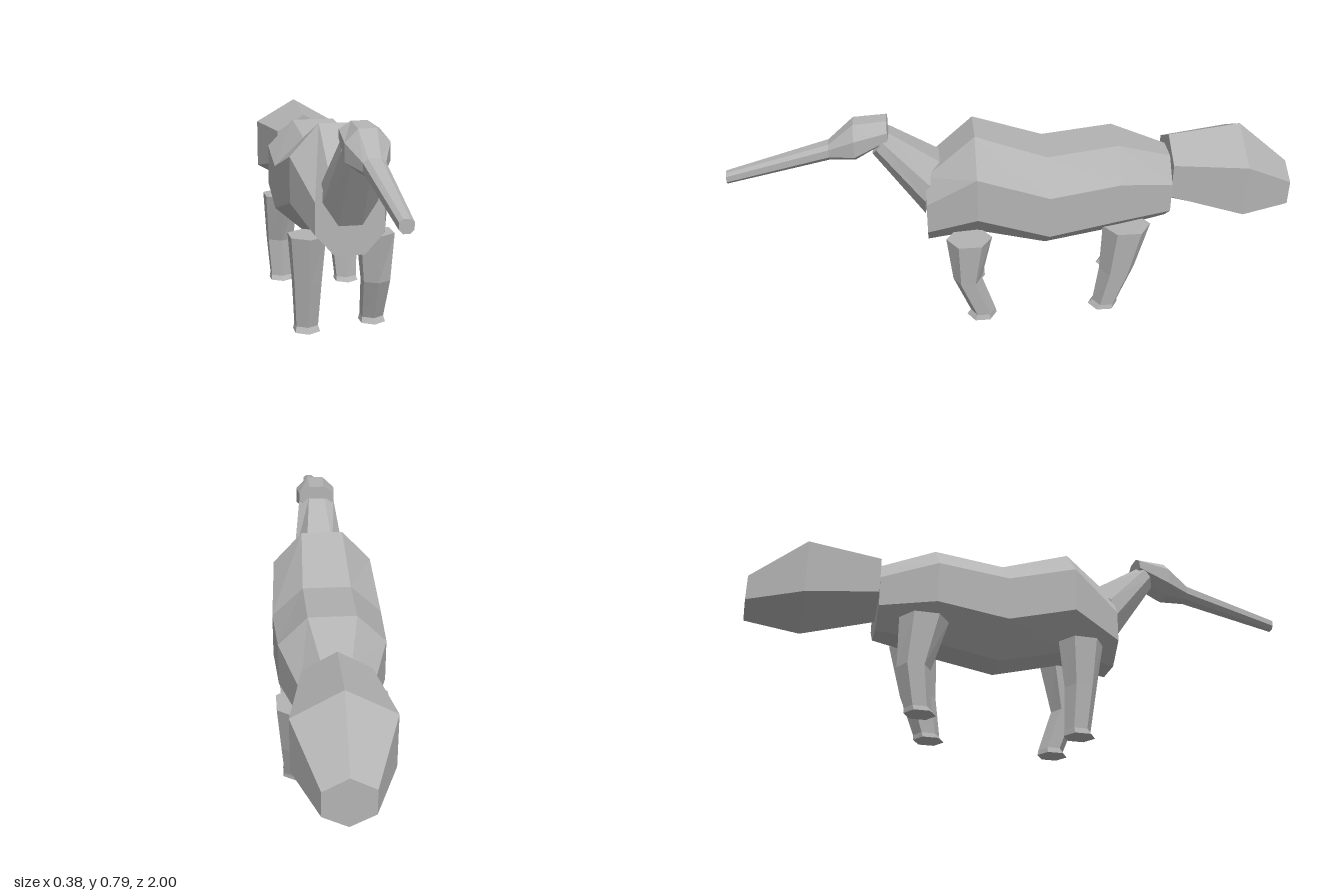
import * as THREE from 'three';

const grey = new THREE.MeshStandardMaterial({ color: 0xb4b4b4, flatShading: true });
grey.name = 'grey';

// Skin a list of rings with flat facets and close both ends
function loft(name, rings) {
  const pos = [];
  const tri = (...pts) => pts.forEach((p) => pos.push(...p));
  const n = rings[0].length;
  for (let i = 0; i < rings.length - 1; i++) {
    for (let j = 0; j < n; j++) {
      const k = (j + 1) % n;
      const a = rings[i][j], b = rings[i][k], c = rings[i + 1][k], d = rings[i + 1][j];
      tri(a, b, c);
      tri(a, c, d);
    }
  }
  const first = rings[0], last = rings[rings.length - 1];
  for (let j = 1; j < n - 1; j++) {
    tri(first[0], first[j + 1], first[j]);
    tri(last[0], last[j], last[j + 1]);
  }
  const geo = new THREE.BufferGeometry();
  geo.setAttribute('position', new THREE.Float32BufferAttribute(pos, 3));
  geo.computeVertexNormals();
  const mesh = new THREE.Mesh(geo, grey);
  mesh.name = name;
  return mesh;
}

// Mirror a half outline (top to bottom on the +x side) into a full ring
function mirror(half) {
  const other = half.filter((p) => p[0] > 0).map(([x, y, z]) => [-x, y, z]);
  return [...half, ...other.reverse()];
}

// Upright section: top, upper side, lower side and bottom corners
const section = ([z, topW, topY, sideW, upY, lowY, botW, botY]) => mirror([
  [topW, topY, z], [sideW, upY, z], [sideW, lowY, z], [botW, botY, z],
]);

// Six-sided leg; each row is y, z, half width, half depth
function leg(name, x, rows) {
  return loft(name, rows.map(([y, z, rx, rz]) => Array.from({ length: 6 }, (_, i) => {
    const t = Math.PI / 6 + (i * Math.PI) / 3;
    return [x + (rx * Math.cos(t)) / Math.cos(Math.PI / 6), y, z + rz * Math.sin(t)];
  })));
}

export function createModel() {
  const model = new THREE.Group();
  model.name = 'anteater';

  // Body, front to back
  model.add(loft('body', [
    [0.315, 0.07, 0.585, 0.12, 0.5, 0.387, 0.052, 0.313],
    [0.14, 0.073, 0.74, 0.176, 0.627, 0.463, 0.065, 0.347],
    [-0.11, 0.083, 0.65, 0.19, 0.547, 0.388, 0.067, 0.282],
    [-0.36, 0.08, 0.68, 0.178, 0.58, 0.43, 0.065, 0.326],
    [-0.555, 0.045, 0.61, 0.115, 0.53, 0.42, 0.045, 0.358],
  ].map(section)));

  // Neck, leaning forward from the chest
  model.add(loft('neck', [
    mirror([[0.03, 0.745, 0.43], [0.066, 0.73, 0.455], [0.066, 0.7, 0.475], [0.035, 0.672, 0.49]]),
    mirror([[0.048, 0.63, 0.258], [0.095, 0.565, 0.3], [0.095, 0.5, 0.318], [0.041, 0.418, 0.32]]),
  ].map((ring) => ring)));

  // Head and long snout
  model.add(loft('head', [
    [1, 0.01, 0.607, 0.022, 0.598, 0.577, 0.01, 0.565],
    [0.64, 0.02, 0.706, 0.036, 0.693, 0.665, 0.02, 0.647],
    [0.55, 0.03, 0.783, 0.073, 0.74, 0.68, 0.03, 0.648],
    [0.435, 0.027, 0.791, 0.066, 0.765, 0.735, 0.03, 0.715],
  ].map(section)));

  // Bushy tail with a ridge on top and below
  model.add(loft('tail', [
    [-0.555, 0, 0.67, 0.11, 0.605, 0.476, 0, 0.41],
    [-0.81, 0, 0.702, 0.16, 0.61, 0.418, 0, 0.333],
    [-1, 0, 0.537, 0.08, 0.492, 0.402, 0, 0.36],
  ].map(section)));

  // Legs in a walking pose
  model.add(leg('leftFrontLeg', 0.123, [
    [0.355, 0.17, 0.061, 0.082], [0.18, 0.18, 0.048, 0.052],
    [0.03, 0.125, 0.039, 0.046], [0.01, 0.13, 0.044, 0.055],
  ]));
  model.add(leg('rightFrontLeg', -0.123, [
    [0.355, 0.17, 0.061, 0.082], [0.18, 0.165, 0.048, 0.058],
    [0.02, 0.15, 0.039, 0.047], [0, 0.157, 0.044, 0.056],
  ]));
  model.add(leg('leftHindLeg', 0.126, [
    [0.378, -0.397, 0.063, 0.087], [0.19, -0.37, 0.05, 0.065],
    [0.045, -0.333, 0.04, 0.047], [0.028, -0.325, 0.044, 0.055],
  ]));
  model.add(leg('rightHindLeg', -0.126, [
    [0.378, -0.397, 0.063, 0.087], [0.19, -0.425, 0.05, 0.058],
    [0.045, -0.405, 0.04, 0.047], [0.028, -0.397, 0.044, 0.055],
  ]));

  return model;
}
